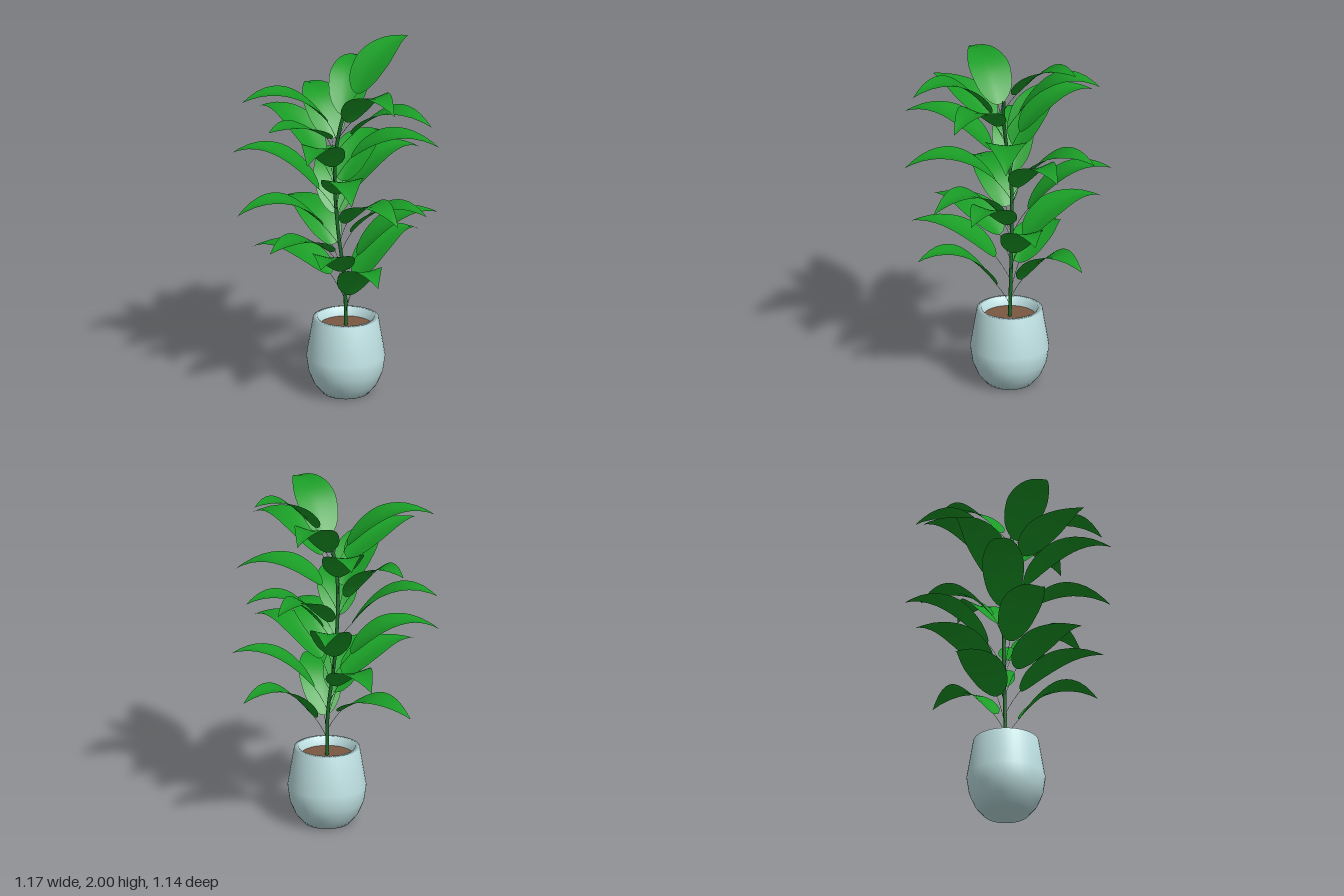
import * as THREE from 'three';

const mat = (name, color, side = THREE.FrontSide) => {
  const m = new THREE.MeshStandardMaterial({ color, side });
  m.name = name;
  return m;
};
const V = (x, y, z) => new THREE.Vector3(x, y, z);

// Gently wandering trunk line
const trunk = new THREE.CatmullRomCurve3([
  V(0.03, 0.38, -0.05), V(0.022, 0.65, -0.055), V(-0.015, 0.95, -0.05), V(-0.03, 1.2, -0.04),
  V(-0.018, 1.42, -0.015), V(0.015, 1.6, -0.008), V(0.042, 1.7, -0.02),
]);
const trunkAt = (y) => {
  let best = trunk.getPoint(0);
  for (let i = 1; i <= 100; i++) {
    const p = trunk.getPoint(i / 100);
    if (Math.abs(p.y - y) < Math.abs(best.y - y)) best = p;
  }
  return best;
};

// Leaves: tip x, y, z, height of the leaf base, height of the arch's middle above the tip
const LEAVES = [
  [0.255, 1.985, -0.5, 1.76, -0.03],
  [0.455, 1.835, 0.39, 1.64, 0.03],
  [-0.04, 1.81, -0.555, 1.62, 0.025],
  [-0.46, 1.79, 0.315, 1.63, 0.025],
  [0.585, 1.69, 0.115, 1.56, 0.045],
  [-0.255, 1.69, 0.48, 1.54, -0.025],
  [-0.32, 1.67, -0.435, 1.48, 0.005],
  [-0.52, 1.59, -0.19, 1.36, -0.01],
  [0.0, 1.55, 0.57, 1.37, 0.02],
  [0.54, 1.46, -0.175, 1.4, 0.07],
  [-0.59, 1.4, 0.09, 1.2, 0.015],
  [0.08, 1.38, -0.56, 1.22, 0.02],
  [0.35, 1.36, -0.42, 1.18, 0.02],
  [0.24, 1.31, 0.5, 1.2, 0.055],
  [-0.22, 1.25, -0.57, 1.02, -0.005],
  [0.53, 1.12, 0.03, 0.96, 0.02],
  [0.44, 1.13, 0.275, 1.02, 0.06],
  [-0.49, 1.11, 0.315, 1.0, 0.06],
  [0.48, 1.02, -0.33, 0.8, -0.01],
  [-0.45, 0.975, -0.445, 0.84, 0.03],
  [-0.25, 0.965, 0.47, 0.85, 0.015],
  [0.06, 0.92, 0.51, 0.74, -0.01],
  [0.3, 0.82, -0.55, 0.64, 0.03],
  [0.36, 0.8, 0.39, 0.6, 0.02],
  [-0.56, 0.75, -0.18, 0.68, 0.05],
];

// Half-width along the blade: round base, pointed tip
const outline = new THREE.SplineCurve([
  [0, 0], [0.02, 0.042], [0.12, 0.093], [0.29, 0.116], [0.45, 0.11], [0.7, 0.067], [1, 0],
].map(([t, w]) => new THREE.Vector2(t, w)));

// Arched blade, folded slightly upward along its midrib
function bladeGeometry(curve, dir) {
  const ROWS = 18, COLS = 6, pos = [], index = [];
  const side = V(0, 1, 0).cross(dir).normalize();
  for (let i = 0; i <= ROWS; i++) {
    const { x: t, y: w } = outline.getPoint(i / ROWS);
    const u = Math.min(1, Math.max(0, t));
    const p = curve.getPoint(u);
    const up = curve.getTangent(u).cross(side).normalize();
    for (let j = 0; j <= COLS; j++) {
      const s = (j / COLS) * 2 - 1;
      const q = p.clone().addScaledVector(side, s * w).addScaledVector(up, 0.16 * w * Math.abs(s) ** 1.3);
      pos.push(q.x, q.y, q.z);
      if (i < ROWS && j < COLS) {
        const a = i * (COLS + 1) + j, b = a + COLS + 1;
        index.push(a, b, a + 1, a + 1, b, b + 1);
      }
    }
  }
  const g = new THREE.BufferGeometry();
  g.setAttribute('position', new THREE.Float32BufferAttribute(pos, 3));
  g.setIndex(index);
  g.computeVertexNormals();
  return g;
}

export function createModel() {
  const root = new THREE.Group();
  root.name = 'pottedPlant';
  const leafMat = mat('leafGreen', 0x1a9c26, THREE.DoubleSide);
  const stemMat = mat('stemGreen', 0x1d6a2a);
  const potMat = mat('paleBluePot', 0xc0e2e4, THREE.DoubleSide);
  const soilMat = mat('soilBrown', 0x7c5842);
  const add = (parent, name, geo, m) => {
    const mesh = new THREE.Mesh(geo, m);
    mesh.name = name;
    parent.add(mesh);
    return mesh;
  };

  // Pot: base, wall, rim and inner wall turned as one softly shaded shell
  const pot = new THREE.Group();
  pot.name = 'pot';
  pot.position.set(0.03, 0, -0.05);
  root.add(pot);
  const shell = [
    [0, 0], [0.13, 0], [0.178, 0.058], [0.208, 0.13], [0.221, 0.22],
    [0.184, 0.443], [0.158, 0.447], [0.144, 0.38],
  ].map(([r, y]) => new THREE.Vector2(r, y));
  add(pot, 'potShell', new THREE.LatheGeometry(shell, 40), potMat);
  const soil = add(pot, 'soil', new THREE.CircleGeometry(0.147, 40), soilMat);
  soil.rotation.x = -Math.PI / 2;
  soil.position.y = 0.395;

  // Trunk
  add(root, 'trunk', new THREE.TubeGeometry(trunk, 40, 0.0105, 8), stemMat);

  // Leaves, each with a hair-thin stalk rising from the trunk
  const leaves = new THREE.Group();
  leaves.name = 'leaves';
  root.add(leaves);
  for (const [x, y, z, baseY, arch] of LEAVES) {
    const tip = V(x, y, z), origin = trunkAt(baseY);
    const dir = V(x - origin.x, 0, z - origin.z).normalize();
    const base = origin.clone().addScaledVector(dir, 0.09).setY(baseY);
    const mid = base.clone().lerp(tip, 0.5).setY(y + arch);
    const control = mid.clone().multiplyScalar(2).addScaledVector(base, -0.5).addScaledVector(tip, -0.5);
    const rib = new THREE.QuadraticBezierCurve3(base, control, tip);
    const leaf = new THREE.Group();
    leaf.name = 'leaf';
    leaves.add(leaf);
    add(leaf, 'blade', bladeGeometry(rib, dir), leafMat);
    const foot = trunkAt(baseY - 0.14);
    const bend = foot.clone().lerp(base, 0.5).addScaledVector(dir, -0.012);
    add(leaf, 'stalk', new THREE.TubeGeometry(new THREE.QuadraticBezierCurve3(foot, bend, base), 6, 0.0012, 5), stemMat);
  }
  return root;
}
